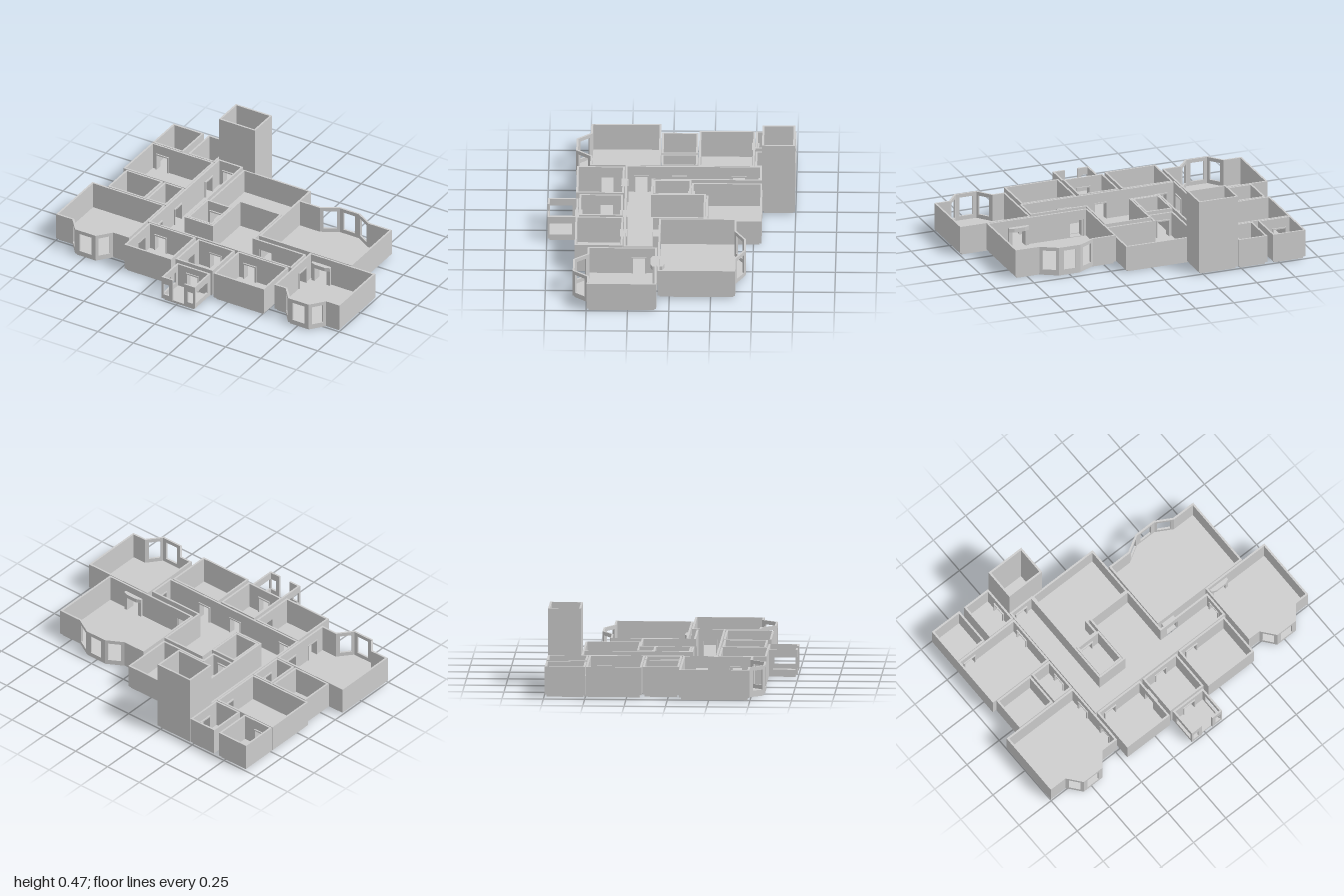
import * as THREE from 'three';

const T = 0.012;      // wall thickness
const BASE = 0.015;   // floor slab height
const TOP = 0.185;    // usual wall top
const LOW = 0.165;    // lower wall top
const DOOR_TOP = 0.125;
const DOOR_W = 0.09;

const mat = new THREE.MeshStandardMaterial({ color: 0xcccccc, flatShading: true });

// Doorway centres [x, z], grouped by the direction the wall runs
const doors = {
  x: [[-0.84, -0.505], [-0.4, -0.551], [-0.38, 0.278], [0.01, 0.28], [0.25, 0.278], [0.25, 0.083], [0.01, 0.552], [-0.235, -0.126]],
  z: [[-0.482, -0.63], [-0.482, -0.41], [-0.482, -0.05], [-0.482, 0.18], [-0.478, 0.385], [-0.13, 0.385], [0.535, 0.18]],
};
const portalAt = [0.63, 0.068];

// Outlines run clockwise seen from above (x right, z down), so walls grow inward
const rect = (x0, z0, x1, z1) => [[x0, z0], [x1, z0], [x1, z1], [x0, z1]];

// Three-sided bay projecting from z by depth, listed from +x to -x
const bay = (cx, z, outer, inner, depth) =>
  [[cx + outer, z], [cx + inner, z + depth], [cx - inner, z + depth], [cx - outer, z]];

// Windows are { edge: [inset at start, inset at end, sill, head] }
function bayWindows(first) {
  const side = [0.02, 0.02, 0.04, 0.162], middle = [0.03, 0.03, 0.04, 0.162];
  return { [first]: side, [first + 1]: middle, [first + 2]: side };
}

function addMesh(parent, geometry, name) {
  const mesh = new THREE.Mesh(geometry, mat);
  mesh.name = name;
  parent.add(mesh);
  return mesh;
}

function addBox(parent, name, w, h, d, x, y, z) {
  addMesh(parent, new THREE.BoxGeometry(w, h, d), name).position.set(x, y, z);
}

// Prism standing on a plan outline given as [x, z] points
function prism(pts, y0, y1) {
  const shape = new THREE.Shape(pts.map(([x, z]) => new THREE.Vector2(x, -z)));
  const g = new THREE.ExtrudeGeometry(shape, { depth: y1 - y0, bevelEnabled: false });
  return g.rotateX(-Math.PI / 2).translate(0, y0, 0);
}

// Doorways lying on the wall from p along d, as [start, end] distances
function doorsOnWall(p, d, length) {
  const candidates = Math.abs(d.x) > 0.99 ? [...doors.x, portalAt] : Math.abs(d.y) > 0.99 ? doors.z : [];
  const cuts = [];
  for (const [x, z] of candidates) {
    const rel = new THREE.Vector2(x, z).sub(p);
    const a = rel.dot(d) - DOOR_W / 2, b = a + DOOR_W;
    if (Math.abs(rel.cross(d)) < 0.03 && a > 0.005 && b < length - 0.005) cuts.push([a, b]);
  }
  return cuts.sort((m, n) => m[0] - n[0]);
}

// One wall panel, mitred at both ends, with door and window openings
function wallPanel(p, d, length, top, mitre0, mitre1, win) {
  const h = top - BASE;
  const shape = new THREE.Shape();
  shape.moveTo(0, 0);
  for (const [a, b] of doorsOnWall(p, d, length)) {
    shape.lineTo(a, 0);
    shape.lineTo(a, DOOR_TOP - BASE);
    shape.lineTo(b, DOOR_TOP - BASE);
    shape.lineTo(b, 0);
  }
  shape.lineTo(length, 0);
  shape.lineTo(length, h);
  shape.lineTo(0, h);
  if (win) {
    const opening = rect(win[0], win[2] - BASE, length - win[1], win[3] - BASE);
    shape.holes.push(new THREE.Path(opening.map(v => new THREE.Vector2(...v))));
  }
  const g = new THREE.ExtrudeGeometry(shape, { depth: T, bevelEnabled: false });
  const pos = g.attributes.position;
  for (let i = 0; i < pos.count; i++) {
    if (pos.getZ(i) < T / 2) continue;
    const x = pos.getX(i);
    if (x < 1e-5) pos.setX(i, x + mitre0);
    else if (x > length - 1e-5) pos.setX(i, x - mitre1);
  }
  g.computeVertexNormals();
  return g.rotateY(Math.atan2(-d.y, d.x)).translate(p.x, BASE, p.y);
}

// Floor slab plus a wall on every edge except the open one
function addRoom(parent, name, pts, { top = TOP, windows = {}, open = -1 } = {}) {
  const room = new THREE.Group();
  room.name = name;
  parent.add(room);
  const n = pts.length;
  const p = pts.map(v => new THREE.Vector2(...v));
  const dir = p.map((v, i) => p[(i + 1) % n].clone().sub(v).normalize());
  const mitre = dir.map((d, i) => {
    const prev = dir[(i + n - 1) % n];
    return T * Math.tan(Math.atan2(prev.cross(d), prev.dot(d)) / 2);
  });
  // the floor is set in by the wall thickness
  const inner = p.map((v, i) => [v.x - dir[i].y * T + dir[i].x * mitre[i], v.y + dir[i].x * T + dir[i].y * mitre[i]]);
  addMesh(room, prism(inner, 0, BASE), 'floor');
  for (let i = 0; i < n; i++) {
    if (i === open) continue;
    const length = p[i].distanceTo(p[(i + 1) % n]);
    addMesh(room, wallPanel(p[i], dir[i], length, top, mitre[i], mitre[(i + 1) % n], windows[i]), 'wall');
  }
}

// Porch, symmetric about cx, with an entrance gap in its front wall
function addPorch(parent) {
  const cx = 0.0125, half = 0.1175, gap = 0.041, z0 = 0.555, z1 = 0.74;
  const right = [[half, z0], [half, z1], [gap, z1]];
  const left = right.map(([x, z]) => [-x, z]).reverse();
  const pts = [...right, ...left].map(([x, z]) => [cx + x, z]);
  const sill = 0.045, head = 0.12;
  const windows = {
    0: [0.035, 0.013, sill, head], 1: [0.013, 0.025, sill, head],
    3: [0.025, 0.013, sill, head], 4: [0.013, 0.035, sill, head],
  };
  addRoom(parent, 'porch', pts, { top: LOW, windows, open: 2 });
}

// Jambs, lintel and threshold lining a doorway
function addDoorFrame(parent, [x, z], turn) {
  const frame = new THREE.Group();
  frame.name = 'doorFrame';
  const depth = 0.044, j = 0.008, h = DOOR_TOP - BASE;
  for (const s of [-1, 1]) addBox(frame, 'jamb', j, h, depth, s * (DOOR_W - j) / 2, BASE + h / 2, 0);
  addBox(frame, 'lintel', DOOR_W, j, depth, 0, DOOR_TOP - j / 2, 0);
  addBox(frame, 'threshold', DOOR_W, BASE, depth, 0, BASE / 2, 0);
  frame.position.set(x, 0, z);
  frame.rotation.y = turn;
  parent.add(frame);
}

// Deep portal with a bowed lintel joining the two large rooms
function addPortal(parent, [x, z]) {
  const portal = new THREE.Group();
  portal.name = 'portal';
  const bow = bay(0, 0.03, 0.065, 0.035, 0.012);
  const plan = [...bow, ...bow.map(([px, pz]) => [-px, -pz])];
  addMesh(portal, prism(plan, 0.115, 0.14), 'bowedLintel');
  for (const s of [-1, 1]) addBox(portal, 'pillar', 0.022, 0.1, 0.06, s * 0.054, BASE + 0.05, 0);
  addBox(portal, 'threshold', DOOR_W, BASE, 0.04, 0, BASE / 2, 0);
  portal.position.set(x, 0, z);
  parent.add(portal);
}

export function createModel() {
  const model = new THREE.Group();
  model.name = 'housePlan';

  // large rooms with bay windows
  addRoom(model, 'leftWingBayRoom',
    [[-1, 0.065], [-0.485, 0.065], [-0.485, 0.49], ...bay(-0.741, 0.49, 0.144, 0.0725, 0.087), [-1, 0.49]],
    { windows: bayWindows(3) });
  addRoom(model, 'rightWingBayRoom',
    [[0.54, 0.07], [1, 0.07], [1, 0.49], ...bay(0.7625, 0.49, 0.1425, 0.0725, 0.087), [0.54, 0.49]],
    { windows: bayWindows(3) });
  addRoom(model, 'backBayRoom',
    [[0.175, -0.405], ...bay(0.5, -0.405, 0.175, 0.07, -0.06).reverse(), [0.83, -0.405], [0.83, 0.065], [0.175, 0.065]],
    { windows: bayWindows(1) });

  // stepped rooms in the middle
  addRoom(model, 'backMiddleRoom',
    [[-0.305, -0.555], [0.17, -0.555], [0.17, -0.217], [-0.14, -0.217], [-0.14, -0.127], [-0.305, -0.127]], { top: LOW });
  addRoom(model, 'corridor',
    [[-0.48, -0.55], [-0.307, -0.55], [-0.307, 0.105], [-0.13, 0.105], [-0.13, -0.215], [0.17, -0.215],
      [0.17, 0.1], [0.53, 0.1], [0.53, 0.275], [-0.48, 0.275]]);

  // rectangular rooms
  addRoom(model, 'closet', rect(-0.305, -0.125, -0.132, 0.103));
  addRoom(model, 'frontLeftRoom', rect(-0.47, 0.28, -0.14, 0.57));
  addRoom(model, 'entryRoom', rect(-0.12, 0.285, 0.14, 0.55));
  addRoom(model, 'frontRightRoom', rect(0.16, 0.28, 0.515, 0.57));
  addRoom(model, 'backLeftRoom', rect(-0.92, -0.503, -0.483, -0.165));
  addRoom(model, 'sideRoom', rect(-0.895, -0.16, -0.635, 0.06));
  addRoom(model, 'sideCloset', rect(-0.625, -0.16, -0.485, 0.06));
  addRoom(model, 'cornerRoom', rect(-0.92, -0.752, -0.707, -0.507));
  addRoom(model, 'rearRoom', rect(-0.67, -0.752, -0.483, -0.507));
  addRoom(model, 'tower', rect(-0.48, -0.752, -0.225, -0.552), { top: 0.47 });
  addPorch(model);

  for (const at of doors.x) addDoorFrame(model, at, 0);
  for (const at of doors.z) addDoorFrame(model, at, Math.PI / 2);
  addPortal(model, portalAt);
  model.position.z = 0.006;
  return model;
}
